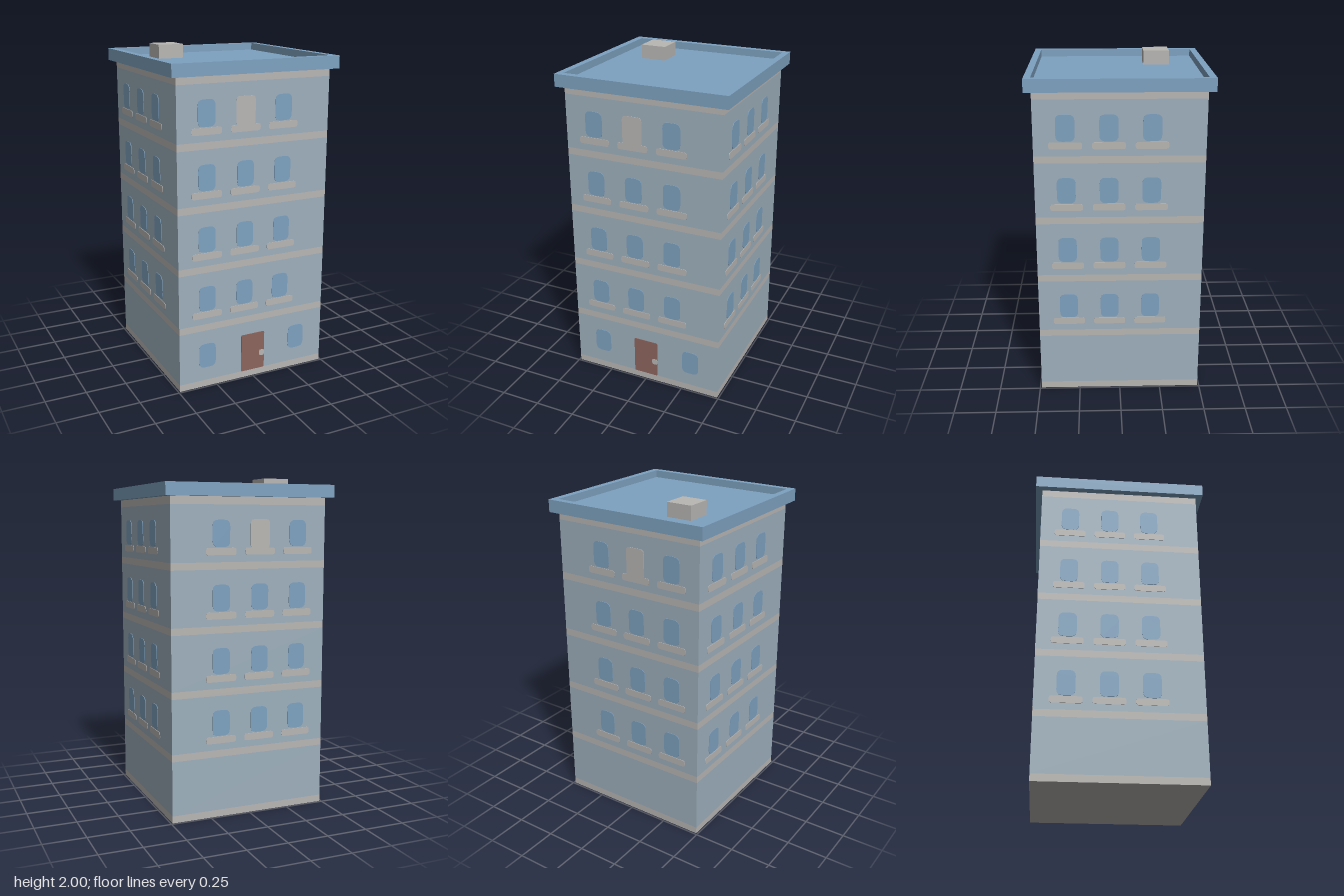
import * as THREE from 'three';

const mat = (name, color) => {
  const m = new THREE.MeshStandardMaterial({ color });
  m.name = name;
  return m;
};

// Rectangle with rounded corners, centred on the origin
function roundedRect(w, h, r) {
  const x = w / 2, y = h / 2, s = new THREE.Shape();
  s.moveTo(-x + r, -y);
  s.lineTo(x - r, -y);
  s.quadraticCurveTo(x, -y, x, -y + r);
  s.lineTo(x, y - r);
  s.quadraticCurveTo(x, y, x - r, y);
  s.lineTo(-x + r, y);
  s.quadraticCurveTo(-x, y, -x, y - r);
  s.lineTo(-x, -y + r);
  s.quadraticCurveTo(-x, -y, -x + r, -y);
  return s;
}

const plate = (w, h, r, depth = 0.003) =>
  new THREE.ExtrudeGeometry(roundedRect(w, h, r), { depth, bevelEnabled: false, curveSegments: 4 });

export function createModel() {
  const model = new THREE.Group();
  model.name = 'apartmentBlock';
  const wall = mat('wallBlueGrey', 0x9eb0bd);
  const stone = mat('paleStone', 0xb9b7b4);
  const blue = mat('roofAndWindowBlue', 0x7ea2c0);
  const brown = mat('doorBrown', 0x8d655e);

  const HALF = 0.49, ROOF = 0.53, FLOOR = 0.368;
  const add = (parent, name, geo, material, x, y, z) => {
    const m = new THREE.Mesh(geo, material);
    m.name = name;
    m.position.set(x, y, z);
    parent.add(m);
    return m;
  };
  const block = (name, w, y0, y1, material, x = 0, z = 0) =>
    add(model, name, new THREE.BoxGeometry(w, y1 - y0, w), material, x, (y0 + y1) / 2, z);

  // Storeys of wall between flush stone bands
  const bands = [[0, 0.042]];
  for (let i = 1; i <= 5; i++) bands.push([i * FLOOR, i * FLOOR + 0.042]);
  bands[5][1] = 1.885;
  bands.forEach(([y0, y1], i) => {
    block('stoneBand', HALF * 2, y0, y1, stone);
    if (i < 5) block('storeyWall', HALF * 2, y1, bands[i + 1][0], wall);
  });

  // Sunken flat roof inside a raised parapet
  block('roofFloor', HALF * 2, 1.885, 1.915, blue);
  const ring = roundedRect(ROOF * 2, ROOF * 2, 0);
  ring.holes.push(roundedRect(HALF * 2, HALF * 2, 0));
  const rim = new THREE.ExtrudeGeometry(ring, { depth: 0.075, bevelEnabled: false });
  rim.rotateX(-Math.PI / 2);
  add(model, 'roofParapet', rim, blue, 0, 1.885, 0);
  block('roofVent', 0.16, 1.915, 2, stone, -0.245, -0.245);

  // Painted facade details
  const windowGeo = plate(0.108, 0.154, 0.035);
  const sillGeo = plate(0.19, 0.041, 0.015);
  const blindGeo = plate(0.122, 0.17, 0.025);
  const columns = [-0.308, -0.062, 0.183];

  // mirror: -1 flips the window columns; blind: stone panel at the top middle
  function facade(name, angle, mirror, blind) {
    const side = new THREE.Group();
    side.name = name;
    side.rotation.y = angle;
    for (let row = 0; row < 4; row++) {
      const y = 0.573 + row * FLOOR;
      columns.forEach((c, i) => {
        const x = c * mirror;
        if (blind && row === 3 && i === 1) add(side, 'blindWindow', blindGeo, stone, x, y - 0.004, HALF);
        else add(side, 'window', windowGeo, blue, x, y, HALF);
        add(side, 'windowSill', sillGeo, stone, x, y - 0.102, HALF);
      });
    }
    model.add(side);
    return side;
  }
  const front = facade('frontFacade', 0, 1, true);
  facade('leftFacade', Math.PI / 2, 1, false);
  facade('backFacade', Math.PI, -1, true);
  facade('rightFacade', -Math.PI / 2, 1, false);

  // Entrance
  for (const x of [-0.308, 0.306]) add(front, 'groundWindow', windowGeo, blue, x, 0.205, HALF);
  add(front, 'door', plate(0.16, 0.244, 0.01), brown, 0, 0.164, HALF);
  add(front, 'doorHandle', plate(0.036, 0.04, 0.014, 0.005), stone, 0.062, 0.145, HALF);

  return model;
}
